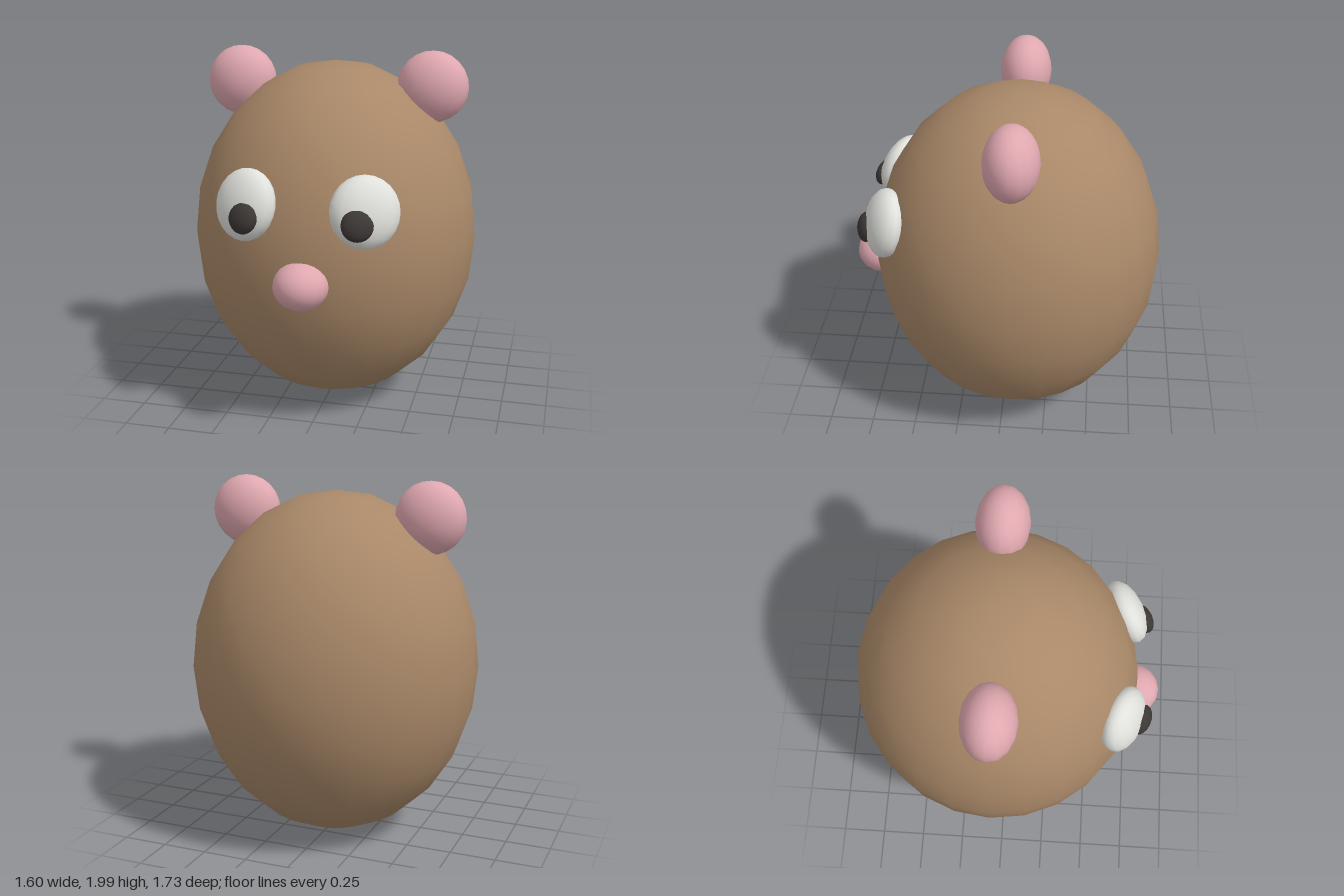
import * as THREE from 'three';

export function createModel() {
  const group = new THREE.Group();
  group.name = 'roundAnimal';

  const material = (name, color) => {
    const m = new THREE.MeshStandardMaterial({ color });
    m.name = name;
    return m;
  };
  const brown = material('brownFur', 0xa98868);
  const pink = material('pink', 0xe0a8b0);
  const white = material('eyeWhite', 0xe0e0dc);
  const black = material('pupilBlack', 0x3c3836);

  // Smooth ellipsoid with a centre and three radii
  const ellipsoid = (name, mat, centre, radii, segs = 16, rings = 12) => {
    const mesh = new THREE.Mesh(new THREE.SphereGeometry(1, segs, rings), mat);
    mesh.name = name;
    mesh.position.set(...centre);
    mesh.scale.set(...radii);
    group.add(mesh);
    return mesh;
  };

  // Egg-shaped body and nose
  const bodyCentre = [0, 0.97, -0.065];
  const bodyRadii = [0.8, 0.963, 0.8];
  ellipsoid('body', brown, bodyCentre, bodyRadii, 24, 12);
  ellipsoid('nose', pink, [0, 0.89, 0.72], [0.146, 0.126, 0.145]);

  for (const [side, s] of [['left', 1], ['right', -1]]) {
    ellipsoid(side + 'Ear', pink, [s * 0.54, 1.805, -0.065], [0.196, 0.195, 0.145]);

    // Eyes are flattened along the body's outward direction
    const eyeCentre = [s * 0.3125, 1.277, 0.63];
    const outward = new THREE.Vector3(
      ...eyeCentre.map((c, i) => (c - bodyCentre[i]) / bodyRadii[i] ** 2)
    ).normalize();
    const tilt = new THREE.Quaternion().setFromUnitVectors(new THREE.Vector3(0, 0, 1), outward);
    const eye = ellipsoid(side + 'Eye', white, eyeCentre, [0.184, 0.189, 0.1]);
    const pupil = ellipsoid(side + 'Pupil', black, [s * 0.296, 1.235, 0.733], [0.085, 0.083, 0.05]);
    eye.quaternion.copy(tilt);
    pupil.quaternion.copy(tilt);
  }
  return group;
}
